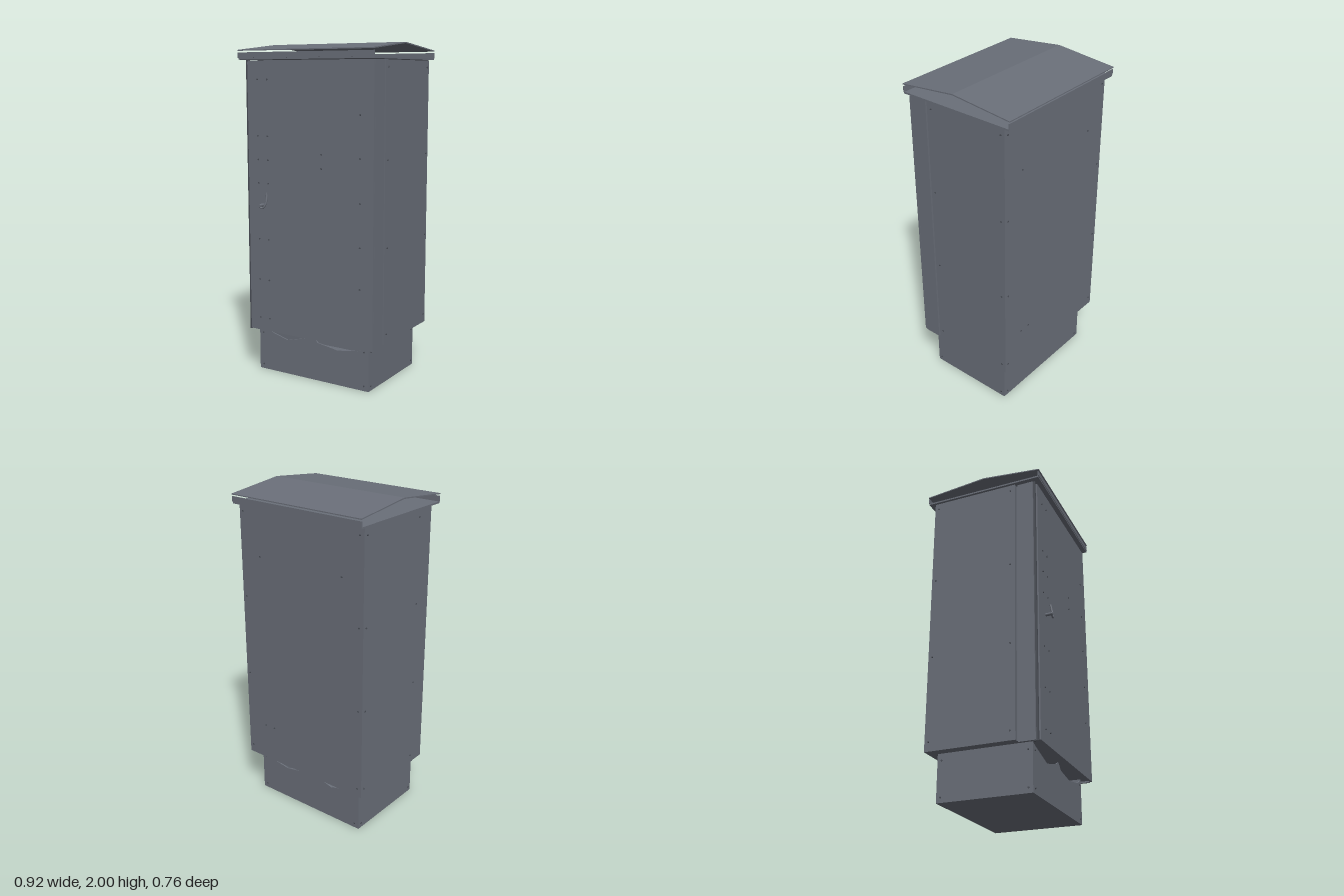
import * as THREE from 'three';

export function createModel() {
  const root = new THREE.Group();
  root.name = 'streetCabinet';
  const steel = new THREE.MeshStandardMaterial({ color: 0x6a6f79, side: THREE.DoubleSide });
  steel.name = 'grey painted steel';
  const dark = new THREE.MeshStandardMaterial({ color: 0x4a4e56 });
  dark.name = 'dark hardware';

  const add = (name, geometry, material = steel, parent = root) => {
    const mesh = new THREE.Mesh(geometry, material);
    mesh.name = name;
    parent.add(mesh);
    return mesh;
  };
  // Box given by its limits on each axis
  const box = (name, x0, x1, y0, y1, z0, z1, material, parent) => {
    const mesh = add(name, new THREE.BoxGeometry(x1 - x0, y1 - y0, z1 - z0), material, parent);
    mesh.position.set((x0 + x1) / 2, (y0 + y1) / 2, (z0 + z1) / 2);
    return mesh;
  };

  // Plinth: open tray with an uneven upper edge on front and back
  box('plinthFloor', -0.39, 0.39, 0, 0.008, -0.28, 0.28);
  for (const s of [-1, 1]) box('plinthSide', s * 0.386 - 0.004, s * 0.386 + 0.004, 0, 0.275, -0.28, 0.28);
  const edge = new THREE.Shape([
    [-0.39, 0], [0.39, 0], [0.39, 0.27], [0.32, 0.235], [0.18, 0.213],
    [0.04, 0.235], [0, 0.272], [-0.04, 0.25], [-0.18, 0.213], [-0.39, 0.272],
  ].map(([x, y]) => new THREE.Vector2(x, y)));
  const plate = new THREE.ExtrudeGeometry(edge, { depth: 0.008, bevelEnabled: false });
  add('plinthFront', plate).position.z = 0.272;
  add('plinthBack', plate).position.z = -0.28;

  // Housing: core, side panels, front posts and door
  box('core', -0.425, 0.432, 0.275, 1.9, -0.325, 0.32);
  box('backPanel', -0.44, 0.44, 0.275, 1.9, -0.335, -0.325);
  box('leftPanel', 0.432, 0.445, 0.275, 1.9, -0.335, 0.205);
  box('rightPanel', -0.448, -0.425, 0.275, 1.9, -0.335, 0.205);
  box('leftPost', 0.432, 0.445, 0.265, 1.9, 0.216, 0.321);
  box('rightPost', -0.435, -0.425, 0.265, 1.9, 0.216, 0.315);
  box('door', -0.412, 0.445, 0.27, 1.893, 0.322, 0.335);
  box('doorJamb', -0.427, -0.418, 0.262, 1.905, 0.3, 0.328, dark);

  // Roof: flat tray, eave rails and a folded sheet with open gable ends
  const roof = new THREE.Group();
  roof.name = 'roof';
  root.add(roof);
  box('tray', -0.458, 0.458, 1.904, 1.914, -0.375, 0.36, steel, roof);
  box('frontRail', -0.46, 0.46, 1.914, 1.946, 0.357, 0.363, steel, roof);
  box('backRail', -0.46, 0.46, 1.914, 1.946, -0.378, -0.372, steel, roof);
  const fold = new THREE.Shape([
    [-0.365, 1.955], [0, 1.993], [0.38, 1.955], [0.38, 1.961], [0, 2], [-0.365, 1.961],
  ].map(([x, y]) => new THREE.Vector2(x, y)));
  const sheet = add('roofSheet', new THREE.ExtrudeGeometry(fold, { depth: 0.92, bevelEnabled: false }), steel, roof);
  sheet.rotation.y = Math.PI / 2; // profile x becomes -z
  sheet.position.x = -0.46;

  // Fasteners: small studs on every face
  const stud = new THREE.CylinderGeometry(0.005, 0.005, 0.006, 8);
  const bolt = (x, y, z, axis) => {
    const mesh = add('bolt', stud, dark);
    mesh.position.set(x, y, z);
    if (axis === 'x') mesh.rotation.z = Math.PI / 2;
    else mesh.rotation.x = Math.PI / 2;
  };
  for (const y of [1.6, 1.36, 1.11, 0.86, 0.62]) bolt(0.36, y, 0.336, 'z');
  for (const y of [1.79, 1.46, 1.32, 1.18, 0.84, 0.59, 0.35])
    for (const x of [-0.34, -0.27]) bolt(x, y, 0.336, 'z');
  for (const y of [1.37, 1.29]) bolt(0.105, y, 0.336, 'z');
  for (const y of [1.86, 1.345, 0.84, 0.33])
    for (const z of [0.175, -0.31]) {
      bolt(0.446, y, z, 'x');
      bolt(-0.449, y, z, 'x');
    }
  for (const y of [1.86, 1.345, 0.84, 0.33])
    for (const x of [-0.42, 0.42]) bolt(x, y, -0.336, 'z');
  for (const [x, y] of [[0.3, 1.61], [-0.3, 1.61], [0.3, 0.51], [0.23, 0.51]]) bolt(x, y, -0.336, 'z');
  for (const y of [0.03, 0.235])
    for (const s of [-1, 1]) {
      bolt(s * 0.36, y, 0.281, 'z');
      bolt(s * 0.36, y, -0.281, 'z');
      bolt(s * 0.391, y, 0.255, 'x');
      bolt(s * 0.391, y, -0.255, 'x');
    }

  // Door handle: slim curved lever on a round lock
  const handle = new THREE.Group();
  handle.name = 'handle';
  root.add(handle);
  const path = new THREE.CatmullRomCurve3([
    [-0.315, 1.05, 0.372], [-0.29, 1.035, 0.372], [-0.27, 1.06, 0.365], [-0.268, 1.13, 0.352],
  ].map((p) => new THREE.Vector3(...p)));
  add('lever', new THREE.TubeGeometry(path, 16, 0.006, 8), steel, handle);
  const lock = add('lock', new THREE.CylinderGeometry(0.009, 0.009, 0.043, 16), steel, handle);
  lock.rotation.x = Math.PI / 2;
  lock.position.set(-0.307, 1.05, 0.357);
  return root;
}
